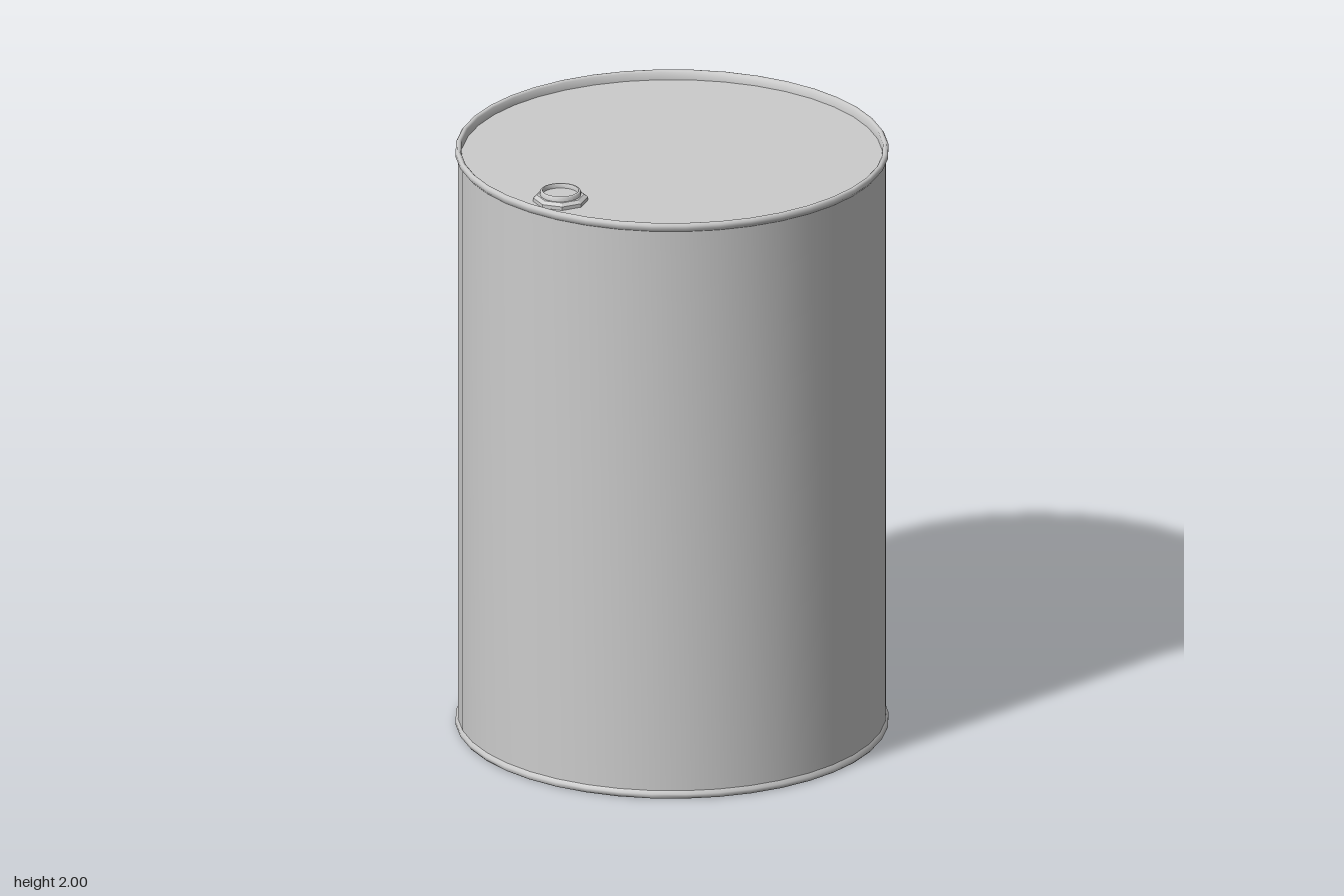
import * as THREE from 'three';
import { toCreasedNormals } from 'three/addons/utils/BufferGeometryUtils.js';

const SIDES = 40;

export function createModel() {
  const drum = new THREE.Group();
  drum.name = 'drum';
  const material = new THREE.MeshStandardMaterial({ color: 0xcccccc });

  // Turned part with sharp edges kept where the profile bends
  const turned = (name, profile, sides, crease = 0.6) => {
    const points = profile.map(([r, y]) => new THREE.Vector2(r, y));
    const geometry = toCreasedNormals(new THREE.LatheGeometry(points, sides), crease);
    const mesh = new THREE.Mesh(geometry, material);
    mesh.name = name;
    drum.add(mesh);
    return mesh;
  };

  // Straight wall
  turned('wall', [[0.694, 0.025], [0.694, 1.968]], SIDES);

  // Rolled rims, with the inner lip running down to the recessed ends
  turned('bottomRim', [
    [0.684, 0.02], [0.684, 0.004], [0.689, 0], [0.697, 0],
    [0.702, 0.006], [0.702, 0.016], [0.694, 0.026],
  ], SIDES, 1.0);
  turned('topRim', [
    [0.694, 1.965], [0.702, 1.975], [0.702, 1.986], [0.697, 1.993],
    [0.689, 1.993], [0.684, 1.988], [0.682, 1.963],
  ], SIDES, 1.0);

  // Recessed flat ends
  turned('base', [[0, 0.02], [0.684, 0.02]], SIDES);
  turned('lid', [[0.682, 1.963], [0, 1.963]], SIDES);

  // Eight-sided flange around the filler opening
  const flange = turned('bungFlange', [
    [0.089, 1.962], [0.089, 1.975], [0.076, 1.984], [0.06, 1.984],
  ], 8, 0.3);
  // Round neck and sunken plug
  const neck = turned('bungNeck', [
    [0.066, 1.98], [0.066, 1.997], [0.063, 2], [0.059, 2], [0.057, 1.997], [0.057, 1.985],
  ], 24, 0.9);
  const plug = turned('bungPlug', [[0.058, 1.985], [0, 1.985]], 24);
  for (const part of [flange, neck, plug]) part.position.z = 0.545;

  return drum;
}
